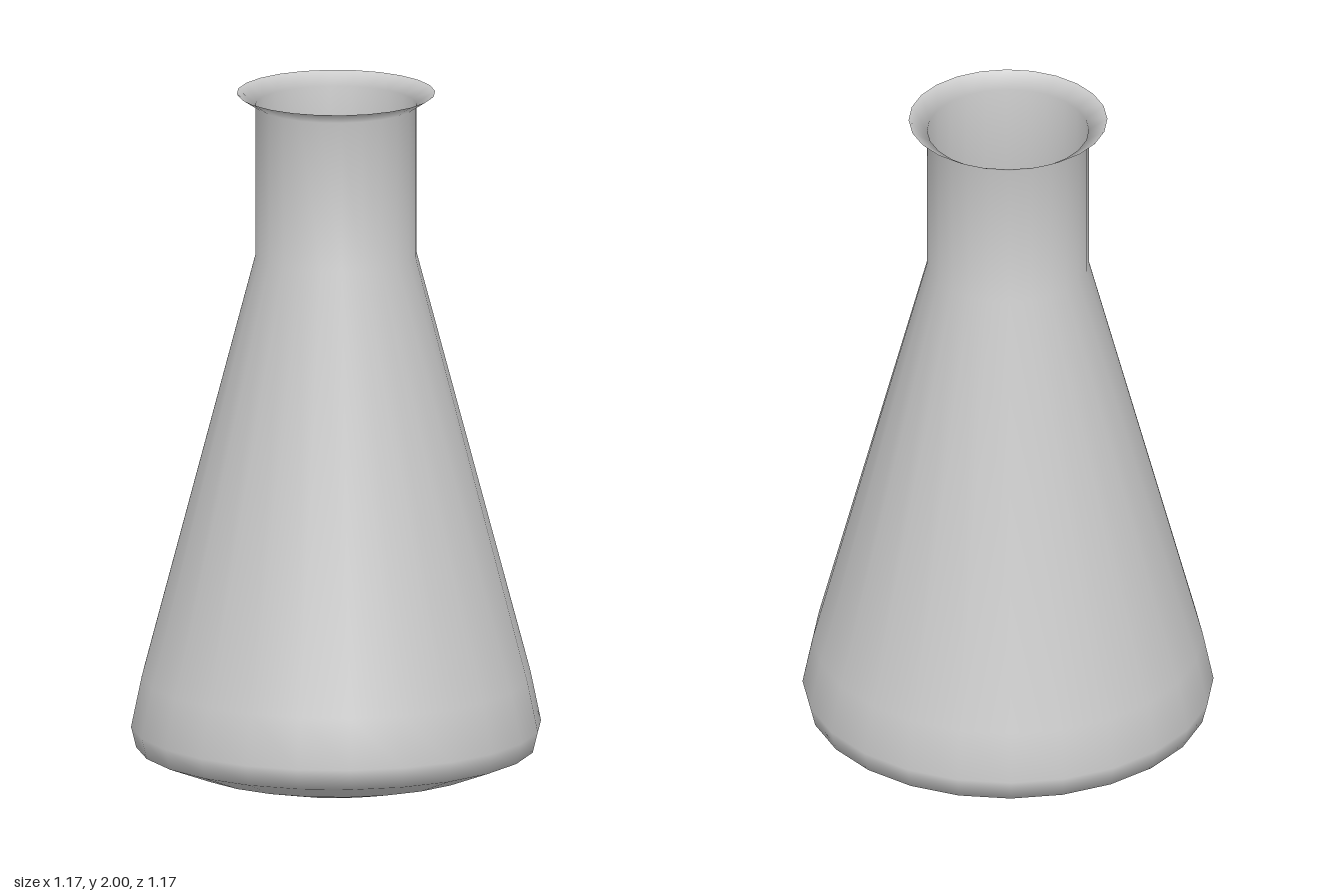
import * as THREE from 'three';

const SIDES = 24;

// Smooth surface of revolution from [radius, height] pairs, listed bottom to top
function turned(name, profile, color, side) {
  const points = profile.map(([r, y]) => new THREE.Vector2(r, y));
  const mesh = new THREE.Mesh(
    new THREE.LatheGeometry(points, SIDES),
    new THREE.MeshStandardMaterial({ color, side })
  );
  mesh.name = name;
  return mesh;
}

export function createModel() {
  const model = new THREE.Group();
  model.name = 'conicalFlask';

  // Thin glass: rounded base, conical body, straight neck, flared lip
  model.add(turned('glass', [
    [0, 0], [0.27, 0], [0.43, 0.04], [0.57, 0.095], [0.585, 0.155],
    [0.555, 0.3], [0.23, 1.53], [0.23, 1.965], [0.283, 2],
  ], 0xcccccc, THREE.DoubleSide));

  // Liquid filling the lower part of the body, just inside the glass
  model.add(turned('liquid', [
    [0, 0.015], [0.265, 0.015], [0.42, 0.055], [0.55, 0.105], [0.57, 0.155],
    [0.54, 0.3], [0.435, 0.7], [0, 0.7],
  ], 0x2e8b36, THREE.FrontSide));

  return model;
}
